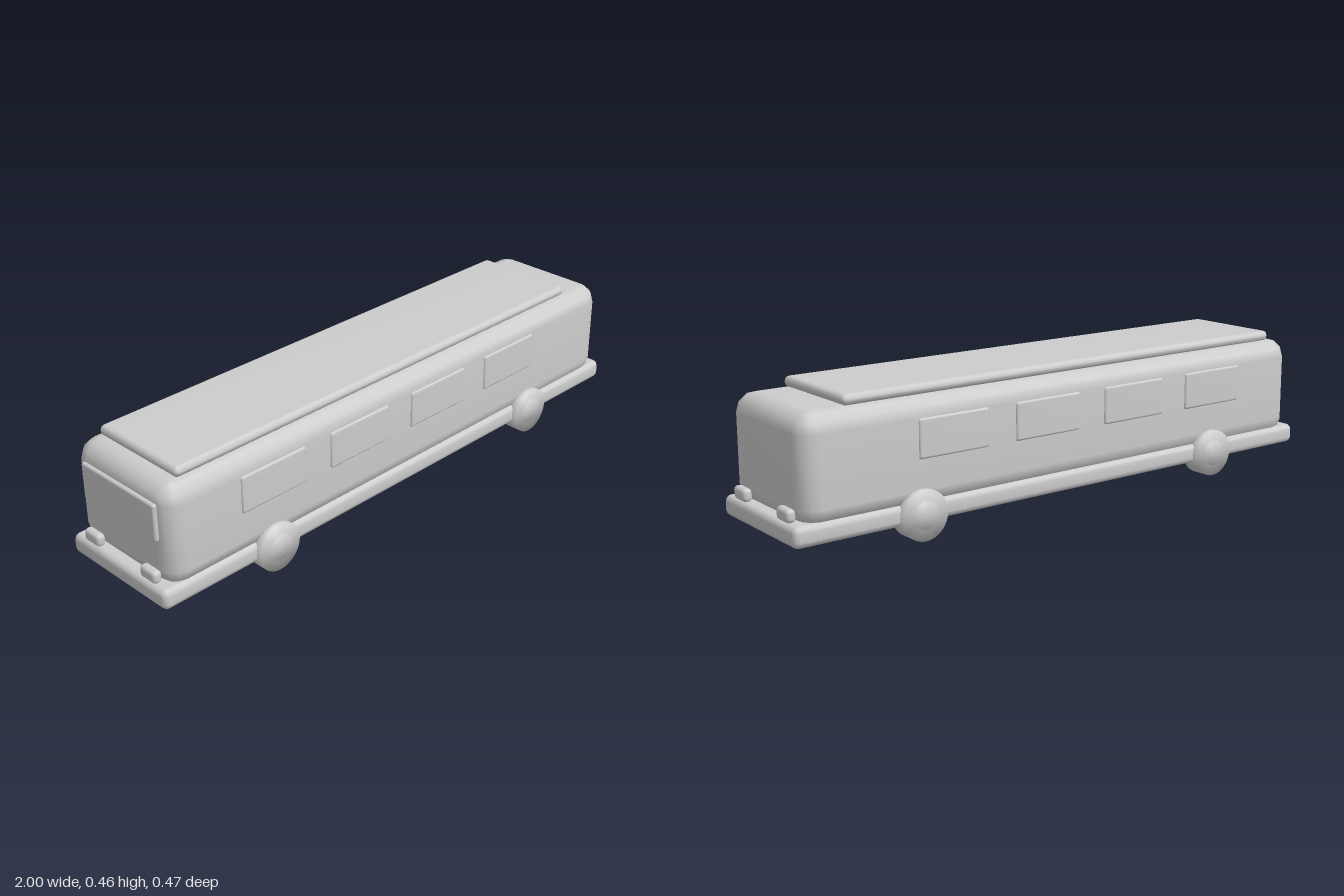
import * as THREE from 'three';
import { mergeVertices } from 'three/addons/utils/BufferGeometryUtils.js';

// Merge coincident corners so shading runs smoothly over every edge
function smooth(geometry) {
  geometry.deleteAttribute('uv');
  geometry.deleteAttribute('normal');
  const merged = mergeVertices(geometry, 1e-5);
  merged.computeVertexNormals();
  return merged;
}

// Box with edges rounded in three steps: a sphere grid whose octants are pulled apart
function softBox(w, h, d, r) {
  const g = new THREE.SphereGeometry(1, 16, 9);
  const p = g.attributes.position;
  const hx = w / 2 - r, hy = h / 2 - r, hz = d / 2 - r;
  for (let row = 0; row <= 9; row++) {
    for (let col = 0; col <= 16; col++) {
      const i = row * 17 + col, c = col % 16;
      if (row === 0 || row === 9) {
        p.setXYZ(i, 0, row === 0 ? h / 2 : -h / 2, 0);
        continue;
      }
      const upper = row <= 4;
      const lat = (upper ? 4 - row : 5 - row) * Math.PI / 6;
      const quad = Math.floor(c / 4);
      const lon = (quad * 3 + c % 4) * Math.PI / 6;
      const sx = quad === 0 || quad === 3 ? -1 : 1;
      const sz = quad < 2 ? 1 : -1;
      p.setXYZ(i,
        sx * hx - r * Math.cos(lon) * Math.cos(lat),
        (upper ? hy : -hy) + r * Math.sin(lat),
        sz * hz + r * Math.sin(lon) * Math.cos(lat));
    }
  }
  return smooth(g);
}

export function createModel() {
  const bus = new THREE.Group();
  bus.name = 'bus';
  const paint = new THREE.MeshStandardMaterial({ color: 0xcccccc });
  paint.name = 'light grey';

  function add(name, geometry, x, y, z) {
    const mesh = new THREE.Mesh(geometry, paint);
    mesh.name = name;
    mesh.position.set(x, y, z);
    bus.add(mesh);
    return mesh;
  }

  // Cabin, chassis skirt and roof panel
  add('cabin', softBox(1.936, 0.335, 0.432, 0.06), 0, 0.2575, 0);
  add('chassis', softBox(2, 0.065, 0.434, 0.02), 0, 0.0825, 0);
  add('roofPanel', softBox(1.71, 0.034, 0.35, 0.0155), -0.045, 0.439, 0);

  // Side windows, and one window at the -x end
  const windowGeo = softBox(0.25, 0.122, 0.022, 0.008);
  for (const side of [1, -1]) {
    for (let i = 0; i < 4; i++) {
      add('sideWindow', windowGeo, -0.585 + i * 0.35, 0.304, side * 0.211);
    }
  }
  add('endWindow', softBox(0.022, 0.122, 0.33, 0.008), -0.967, 0.309, 0);

  // Lamps above the bumpers at both ends
  const lampGeo = softBox(0.03, 0.04, 0.07, 0.012);
  for (const end of [1, -1]) {
    for (const side of [1, -1]) add('lamp', lampGeo, end * 0.978, 0.133, side * 0.13);
  }

  // Wheels with shallow hub discs
  const tyreGeo = smooth(new THREE.CylinderGeometry(0.078, 0.078, 0.063, 32)).rotateX(Math.PI / 2);
  const hubGeo = smooth(new THREE.CylinderGeometry(0.043, 0.043, 0.02, 24)).rotateX(Math.PI / 2);
  for (const x of [-0.585, 0.582]) {
    for (const side of [1, -1]) {
      add('wheel', tyreGeo, x, 0.078, side * 0.202);
      add('hub', hubGeo, x, 0.078, side * 0.2265);
    }
  }
  return bus;
}
